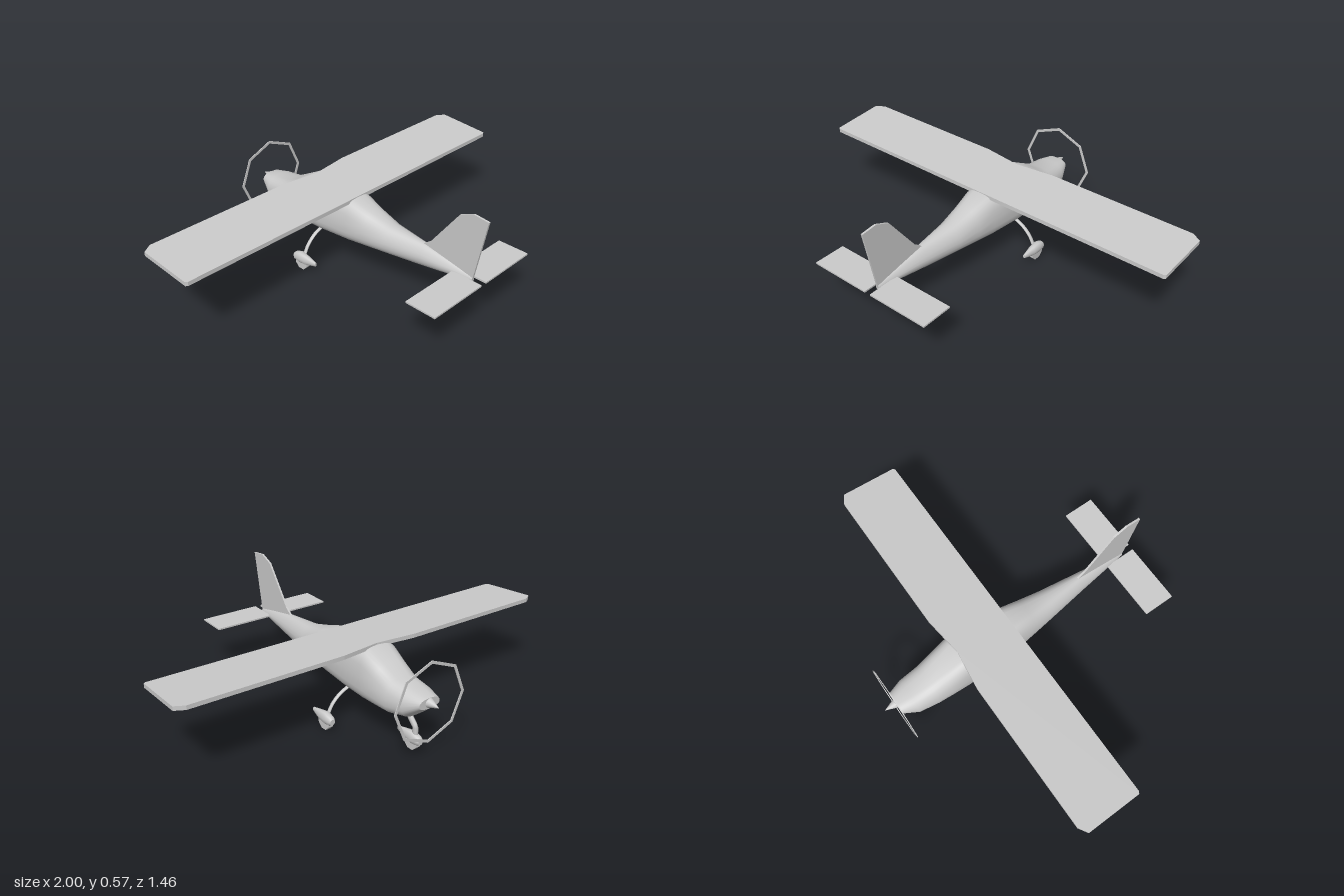
import * as THREE from 'three';

const material = new THREE.MeshStandardMaterial({ color: 0xcccccc });
const flat = new THREE.MeshStandardMaterial({ color: 0xcccccc, flatShading: true });

function add(parent, name, geometry, mat = material) {
  const mesh = new THREE.Mesh(geometry, mat);
  mesh.name = name;
  parent.add(mesh);
  return mesh;
}

// Smooth skin through rounded-box sections [z, halfWidth, bottom, top, exponent, topTaper]
function loft(sections, n) {
  const pos = [], index = [];
  const ring = ([z, w, lo, hi, e, taper]) => {
    for (let j = 0; j < n; j++) {
      const a = (j / n) * Math.PI * 2, c = Math.cos(a), s = Math.sin(a);
      const u = Math.sign(c) * Math.abs(c) ** (2 / e);
      const v = Math.sign(s) * Math.abs(s) ** (2 / e);
      pos.push(u * w * (1 - taper * Math.max(0, v)), (lo + hi) / 2 + v * (hi - lo) / 2, z);
    }
  };
  sections.forEach(ring);
  for (let i = 0; i < sections.length - 1; i++) {
    for (let j = 0; j < n; j++) {
      const a = i * n + j, b = i * n + (j + 1) % n;
      index.push(a, b, a + n, b, b + n, a + n);
    }
  }
  // End caps have their own vertices, so their rims stay sharp
  [sections[0], sections[sections.length - 1]].forEach((s, k) => {
    const start = pos.length / 3;
    ring(s);
    pos.push(0, (s[2] + s[3]) / 2, s[0]);
    for (let j = 0; j < n; j++) {
      const a = start + j, b = start + (j + 1) % n;
      index.push(start + n, k ? a : b, k ? b : a);
    }
  });
  const g = new THREE.BufferGeometry();
  g.setAttribute('position', new THREE.Float32BufferAttribute(pos, 3));
  g.setIndex(index);
  g.computeVertexNormals();
  return g;
}

function plate(points, depth) {
  const shape = new THREE.Shape(points.map(([x, y]) => new THREE.Vector2(x, y)));
  return new THREE.ExtrudeGeometry(shape, { depth, bevelEnabled: false });
}

// Wheel with its streamlined fairing, axle at z = 0
function wheelUnit(name) {
  const g = new THREE.Group();
  g.name = name;
  const wheel = new THREE.CylinderGeometry(0.042, 0.042, 0.026, 8);
  wheel.rotateY(Math.PI / 8).rotateZ(Math.PI / 2);
  add(g, 'wheel', wheel, flat).position.y = 0.039;
  add(g, 'wheelFairing', loft([
    [-0.055, 0.013, 0.04, 0.068, 2.5, 0.1],
    [-0.045, 0.02, 0.034, 0.077, 2.5, 0.1],
    [-0.01, 0.024, 0.03, 0.089, 2.5, 0.1],
    [0.03, 0.02, 0.032, 0.083, 2.5, 0.1],
    [0.095, 0.006, 0.049, 0.07, 2, 0],
  ], 12));
  return g;
}

export function createModel() {
  const plane = new THREE.Group();
  plane.name = 'lightAircraft';

  // Fuselage, nose towards -z
  add(plane, 'fuselage', loft([
    [-0.675, 0.058, 0.244, 0.294, 2.6, 0.1],
    [-0.6, 0.09, 0.181, 0.31, 2.8, 0.15],
    [-0.5, 0.102, 0.16, 0.321, 3.2, 0.2],
    [-0.42, 0.109, 0.161, 0.362, 3.6, 0.2],
    [-0.33, 0.115, 0.163, 0.409, 4, 0.15],
    [-0.2, 0.112, 0.167, 0.408, 4, 0.15],
    [-0.02, 0.102, 0.175, 0.393, 3.5, 0.2],
    [0.08, 0.09, 0.181, 0.362, 3, 0.25],
    [0.2, 0.073, 0.189, 0.331, 2.6, 0.25],
    [0.4, 0.045, 0.206, 0.317, 2.4, 0.4],
    [0.55, 0.025, 0.226, 0.289, 2.3, 0.4],
    [0.67, 0.009, 0.241, 0.266, 2, 0.3],
  ], 28));

  // Spinner
  const spinner = add(plane, 'spinner', new THREE.ConeGeometry(0.027, 0.07, 16));
  spinner.rotation.x = -Math.PI / 2;
  spinner.position.set(0, 0.27, -0.699);

  // Thin octagonal propeller ring
  const disc = add(plane, 'propellerRing', new THREE.CylinderGeometry(1, 1, 1, 8));
  disc.geometry = (() => {
    const oct = (r) => Array.from({ length: 8 }, (_, i) =>
      new THREE.Vector2(r * Math.cos(i * Math.PI / 4), r * Math.sin(i * Math.PI / 4)));
    const s = new THREE.Shape(oct(0.197));
    s.holes.push(new THREE.Path(oct(0.183)));
    return new THREE.ExtrudeGeometry(s, { depth: 0.004, bevelEnabled: false });
  })();
  disc.position.set(0, 0.273, -0.679);

  // High wing: one plate with clipped tips, rising towards the leading edge
  const half = [[0.2, 0.34], [0.955, 0.34], [1, 0.312], [0.995, 0.032], [0.985, 0.025]];
  const outline = [[0, 0.315], ...half, ...half.map(([x, y]) => [-x, y]).reverse()];
  const wing = plate(outline.reverse(), 0.02).rotateX(-Math.PI / 2);
  const p = wing.attributes.position;
  for (let i = 0; i < p.count; i++) p.setY(i, p.getY(i) + 0.377 - 0.07 * (p.getZ(i) + 0.025));
  wing.computeVertexNormals();
  add(plane, 'wing', wing);

  // Swept fin
  const fin = plate([[0.36, 0.3], [0.67, 0.25], [0.73, 0.567], [0.652, 0.575],
    [0.58, 0.545], [0.43, 0.345], [0.395, 0.319]], 0.01);
  add(plane, 'fin', fin.rotateY(-Math.PI / 2).translate(0.005, 0, 0));

  for (const side of [-1, 1]) {
    // Tailplane
    add(plane, 'tailplane', new THREE.BoxGeometry(0.314, 0.008, 0.16))
      .position.set(side * 0.173, 0.255, 0.65);

    // Main landing gear
    const leg = new THREE.CatmullRomCurve3([[0.08, 0.178], [0.125, 0.157], [0.17, 0.117], [0.197, 0.07]]
      .map(([x, y]) => new THREE.Vector3(side * x, y, 0)));
    const legGeometry = new THREE.TubeGeometry(leg, 10, 0.006, 8).scale(1, 1, 1.7);
    add(plane, 'mainLeg', legGeometry.translate(0, 0, -0.21));
    const main = wheelUnit('mainWheel');
    main.position.set(side * 0.21, 0, -0.21);
    plane.add(main);
  }

  // Nose gear
  const path = new THREE.CurvePath();
  const pts = [[0.19, -0.52], [0.115, -0.594], [0.07, -0.594]].map(([y, z]) => new THREE.Vector3(0, y, z));
  path.add(new THREE.LineCurve3(pts[0], pts[1]));
  path.add(new THREE.LineCurve3(pts[1], pts[2]));
  add(plane, 'noseLeg', new THREE.TubeGeometry(path, 14, 0.016, 8).scale(0.7, 1, 1));
  const nose = wheelUnit('noseWheel');
  nose.position.z = -0.577;
  plane.add(nose);

  return plane;
}
